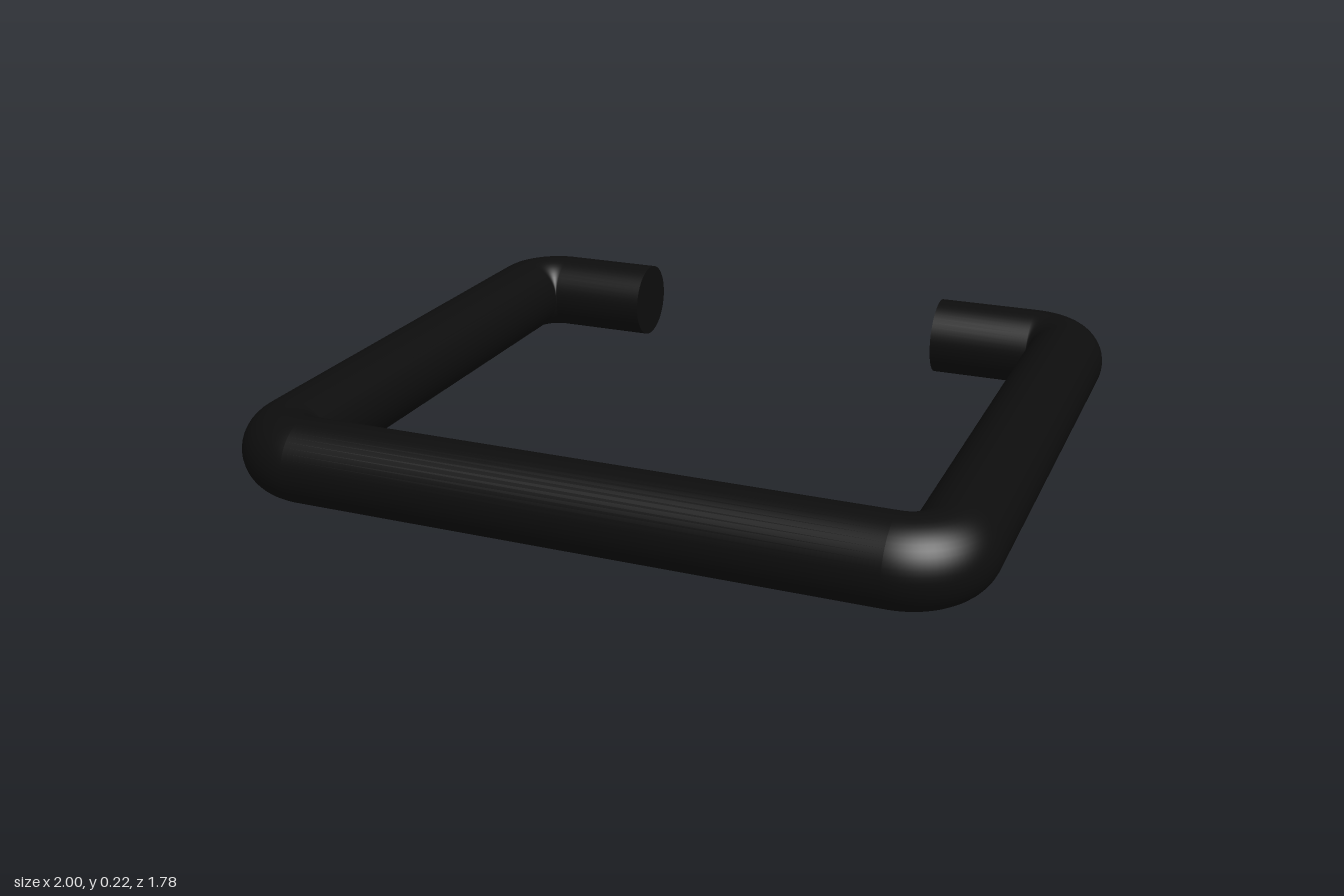
import * as THREE from 'three';

export function createModel() {
  const group = new THREE.Group();
  const material = new THREE.MeshStandardMaterial({ color: 0x0d0d0d });
  const r = 0.112;               // rod radius
  const bend = 0.113;            // centreline radius of the bends
  const cx = 1 - r - bend;       // bend centres
  const cz = 0.89 - r - bend;
  const endX = 0.485;            // inner ends of the open side

  const add = (name, geometry, x, z) => {
    const mesh = new THREE.Mesh(geometry, material);
    mesh.name = name;
    mesh.position.set(x, r, z);
    group.add(mesh);
  };
  const rod = (length, open) => new THREE.CylinderGeometry(r, r, length, 48, 1, open);

  // Straight front bar
  add('frontBar', rod(2 * cx, true).rotateZ(Math.PI / 2), 0, cz + bend);

  // Mirrored side bars and capped end stubs
  for (const [side, s] of [['left', 1], ['right', -1]]) {
    add(side + 'Bar', rod(2 * cz, true).rotateX(Math.PI / 2), s * (cx + bend), 0);
    add(side + 'EndStub', rod(cx - endX, false).rotateZ(Math.PI / 2), s * (cx + endX) / 2, -cz - bend);
  }

  // Quarter-turn bends, going round from the front left corner
  const corners = [['frontLeft', 1, 1], ['frontRight', -1, 1], ['backRight', -1, -1], ['backLeft', 1, -1]];
  corners.forEach(([name, sx, sz], i) => {
    const geometry = new THREE.TorusGeometry(bend, r, 48, 20, Math.PI / 2);
    geometry.rotateX(Math.PI / 2).rotateY(-i * Math.PI / 2);
    add(name + 'Bend', geometry, sx * cx, sz * cz);
  });

  return group;
}
